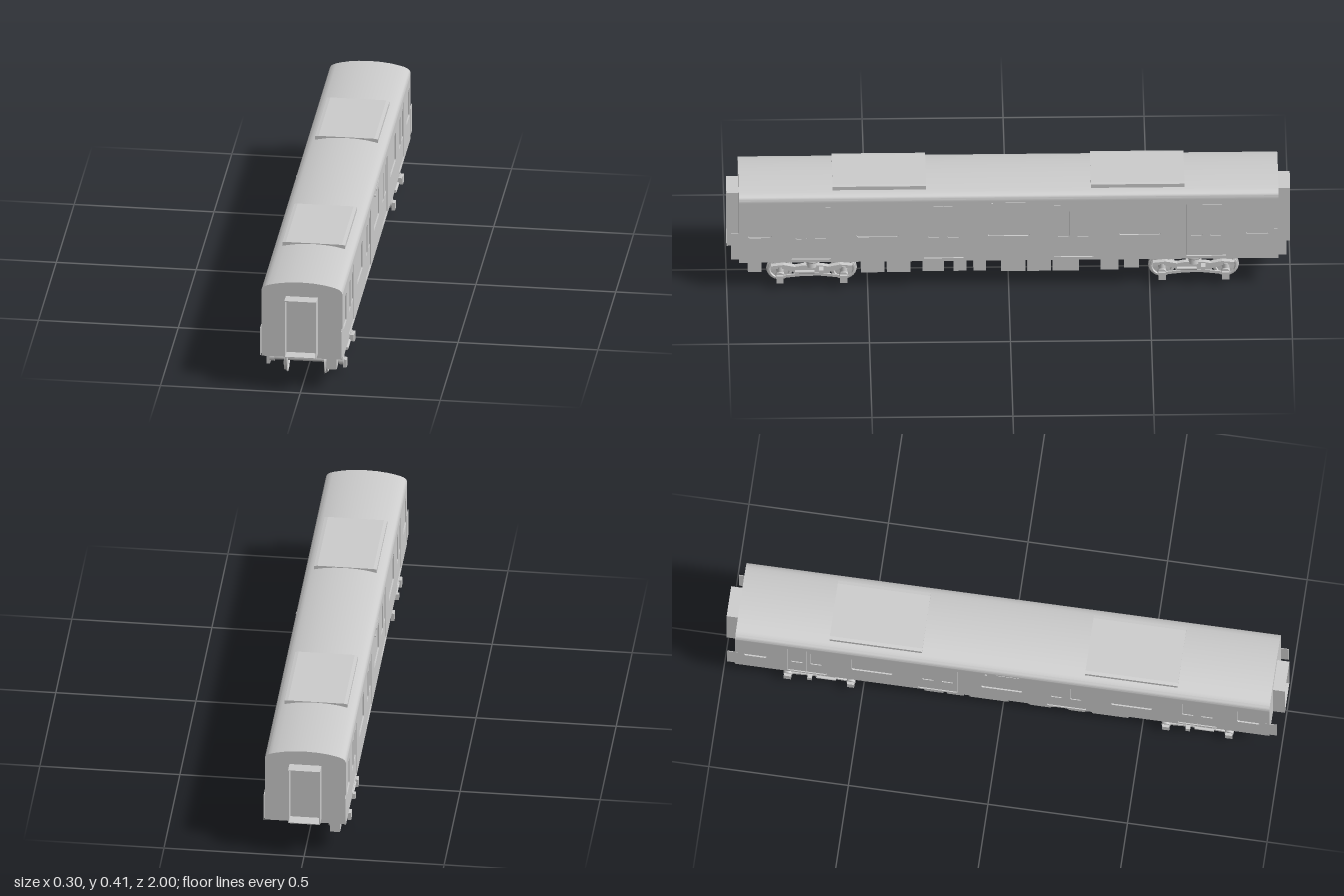
import * as THREE from 'three';
import { toCreasedNormals } from 'three/addons/utils/BufferGeometryUtils.js';

const grey = new THREE.MeshStandardMaterial({ color: 0xcccccc });
const thin = new THREE.MeshStandardMaterial({ color: 0xcccccc, side: THREE.DoubleSide });
const HALF = 0.145, END = 0.957, SKIN = 0.005;

function add(parent, name, geometry, x = 0, y = 0, z = 0, material = grey) {
  const mesh = new THREE.Mesh(geometry, material);
  mesh.name = name;
  mesh.position.set(x, y, z);
  parent.add(mesh);
  return mesh;
}

// Box given by its limits
function block(parent, name, x0, x1, y0, y1, z0, z1) {
  return add(parent, name, new THREE.BoxGeometry(x1 - x0, y1 - y0, z1 - z0),
    (x0 + x1) / 2, (y0 + y1) / 2, (z0 + z1) / 2);
}

const polygon = pts => new THREE.Shape(pts.map(p => new THREE.Vector2(...p)));
const rect = (x0, x1, y0, y1) => polygon([[x0, y0], [x1, y0], [x1, y1], [x0, y1]]);

function roundRect(cx, cy, w, h, r) {
  const s = new THREE.Shape(), a = w / 2 - r, b = h / 2 - r;
  s.absarc(cx + a, cy - b, r, -Math.PI / 2, 0);
  s.absarc(cx + a, cy + b, r, 0, Math.PI / 2);
  s.absarc(cx - a, cy + b, r, Math.PI / 2, Math.PI);
  s.absarc(cx - a, cy - b, r, Math.PI, Math.PI * 1.5);
  s.closePath();
  return s;
}

const extrude = (shape, depth) =>
  new THREE.ExtrudeGeometry(shape, { depth, bevelEnabled: false, curveSegments: 4 });

// Shape drawn in (z, y), extruded sideways between x0 and x1
function sidePlate(parent, name, shape, x0, x1, z = 0) {
  const mesh = add(parent, name, extrude(shape, x1 - x0), x1, 0, z);
  mesh.rotation.y = -Math.PI / 2;
  return mesh;
}

// Cylinder lying along x (axis 'x') or z (axis 'z')
function rod(parent, name, r, length, axis, x, y, z, sides = 16) {
  const g = new THREE.CylinderGeometry(r, r, length, sides);
  if (axis === 'x') g.rotateZ(Math.PI / 2);
  else g.rotateX(Math.PI / 2);
  return add(parent, name, g, x, y, z);
}

function buildBody(train) {
  // Core with a cambered roof that overhangs the recessed door and window panels
  const half = [[HALF - SKIN, 0.118], [HALF - SKIN, 0.365], [HALF, 0.365], [HALF, 0.373],
    [0.143, 0.379], [0.139, 0.385], [0.132, 0.39], [0.12, 0.395], [0.1, 0.4], [0.075, 0.405], [0.04, 0.409]];
  const outline = [...half, [0, 0.4105], ...half.slice().reverse().map(([x, y]) => [-x, y])];
  const core = extrude(polygon(outline), END * 2).translate(0, 0, -END);
  add(train, 'bodyShell', toCreasedNormals(core, 0.5));

  const doors = [-0.7, -0.23, 0.23, 0.7];
  const windows = [[0, 0.148], [-0.465, 0.148], [0.465, 0.148], [-0.883, 0.082], [0.883, 0.082]];
  for (const s of [1, -1]) {
    // Side skin pierced by doors and windows
    const skin = rect(-END, END, 0.118, 0.365);
    for (const z of doors) skin.holes.push(rect(z - 0.07, z + 0.07, 0.13, 0.345));
    for (const [z, w] of windows) skin.holes.push(roundRect(z, 0.275, w, 0.11, 0.007));
    const inner = s > 0 ? HALF - SKIN : -HALF;
    sidePlate(train, 'sidePanel', skin, inner, inner + SKIN);

    for (const z of doors) {
      // Pair of sliding leaves with recessed glass
      for (const d of [-1, 1]) {
        const c = d * 0.0345;
        const leaf = rect(c - 0.034, c + 0.034, 0.132, 0.343);
        leaf.holes.push(roundRect(c, 0.268, 0.042, 0.11, 0.005));
        const x0 = s > 0 ? HALF - SKIN : -HALF + 0.002;
        sidePlate(train, 'doorLeaf', leaf, x0, x0 + 0.003, z);
      }
      block(train, 'doorSill', Math.min(s * 0.141, s * 0.146), Math.max(s * 0.141, s * 0.146),
        0.124, 0.13, z - 0.065, z + 0.065);
    }

    // Side lamp and indicator strip
    rod(train, 'sideLamp', 0.005, 0.012, 'x', s * 0.144, 0.354, s * 0.06, 10);
    add(train, 'indicatorStrip', new THREE.BoxGeometry(0.003, 0.008, 0.08), s * HALF, 0.357, -s * 0.02);

    // Corner guard plates beyond both ends
    for (const e of [1, -1])
      add(train, 'cornerGuard', new THREE.BoxGeometry(0.002, 0.107, 0.045), s * 0.1445, 0.1865, e * 0.9625);
  }

  // Open gangway frame at each end
  for (const e of [1, -1]) {
    const frame = rect(-0.057, 0.057, 0.135, 0.355);
    frame.holes.push(rect(-0.054, 0.054, 0.138, 0.352));
    add(train, 'gangwayFrame', extrude(frame, 0.045), 0, 0, e > 0 ? 0.955 : -1, thin);
    // Rooftop unit, just proud of the roof at its edges
    const unit = polygon([[-0.112, 0.39], [0.112, 0.39], [0.112, 0.411], [0.1, 0.413], [-0.1, 0.413], [-0.112, 0.411]]);
    add(train, 'roofUnit', extrude(unit, 0.332), 0, 0, e * 0.458 - 0.166);
  }
}

function buildUnderframe(train) {
  const bottom = 0.064, top = 0.12;
  // Equipment boxes: x range, z range
  const boxes = [[0.085, 0.12, 0.877, 0.925], [-0.12, -0.085, -0.925, -0.877],
    [0.085, 0.13, 0.44, 0.524], [0.085, 0.13, 0.348, 0.432],
    [0.085, 0.125, 0.23, 0.305], [0.085, 0.125, 0.15, 0.195], [0.085, 0.125, 0.08, 0.125],
    [0.085, 0.13, -0.06, 0.027], [0.085, 0.13, -0.15, -0.066], [0.085, 0.13, -0.25, -0.156],
    [0.085, 0.125, -0.39, -0.326], [0.085, 0.115, -0.462, -0.41],
    [-0.13, -0.08, 0.32, 0.45], [-0.13, -0.08, -0.12, 0.02],
    [-0.13, -0.08, -0.2, -0.14], [-0.13, -0.08, -0.28, -0.212]];
  for (const [x0, x1, z0, z1] of boxes) block(train, 'equipmentBox', x0, x1, bottom, top, z0, z1);

  // Tapered cases
  for (const [z0, z1] of [[0.22, 0.31], [0.08, 0.19]])
    sidePlate(train, 'taperedCase', polygon([[z0, top], [z0, 0.085], [z0 + 0.02, bottom],
      [z1 - 0.02, bottom], [z1, 0.085], [z1, top]]), -0.13, -0.075);

  // Air reservoir and its hangers
  rod(train, 'airReservoir', 0.021, 0.115, 'z', -0.105, 0.088, -0.405, 20);
  for (const z of [-0.44, -0.37]) block(train, 'reservoirHanger', -0.115, -0.095, 0.1, top, z - 0.005, z + 0.005);
}

function buildBogie(z) {
  const bogie = new THREE.Group();
  bogie.name = 'bogie';
  bogie.position.z = z;
  const axleY = 0.048, spacing = 0.113;

  // Wheel profile: flange inside, tread outside, dished disc
  const profile = [[0.01, -0.005], [0.034, -0.003], [0.038, -0.007], [0.048, -0.006], [0.047, -0.002],
    [0.043, 0], [0.042, 0.006], [0.036, 0.006], [0.033, 0.001], [0.014, 0.003], [0.01, 0.006]];
  const wheel = toCreasedNormals(new THREE.LatheGeometry(profile.map(p => new THREE.Vector2(...p)), 28), 0.5);
  wheel.rotateZ(-Math.PI / 2);

  for (const a of [-spacing, spacing]) {
    rod(bogie, 'axle', 0.0105, 0.25, 'x', 0, axleY + 0.003, a);
    for (const s of [1, -1]) {
      const w = add(bogie, 'wheel', wheel, s * 0.072, axleY, a, thin);
      if (s < 0) w.rotation.y = Math.PI;
      rod(bogie, 'axleBox', 0.016, 0.018, 'x', s * 0.124, axleY + 0.003, a, 12);
      add(bogie, 'axleBoxCover', new THREE.BoxGeometry(0.012, 0.03, 0.026), s * 0.137, 0.043, a);
      add(bogie, 'axleSpring', new THREE.CylinderGeometry(0.011, 0.013, 0.022, 12), s * 0.115, 0.073, a);
    }
  }

  // Curved side frame: bar dips in the middle and rises over the axle boxes
  const frame = polygon([[-0.145, 0.078], [-0.105, 0.078], [-0.06, 0.062], [-0.03, 0.052], [0.03, 0.052],
    [0.06, 0.062], [0.105, 0.078], [0.145, 0.078], [0.145, 0.088], [0.1, 0.093], [0.06, 0.085],
    [0.035, 0.09], [-0.035, 0.09], [-0.06, 0.085], [-0.1, 0.093], [-0.145, 0.088]]);
  for (const s of [1, -1]) {
    sidePlate(bogie, 'sideFrame', frame, s * 0.114 - 0.009, s * 0.114 + 0.009);
    sidePlate(bogie, 'tieBar', polygon([[-0.1, 0.042], [-0.03, 0.05], [0.03, 0.05], [0.1, 0.042],
      [0.1, 0.052], [0.03, 0.061], [-0.03, 0.061], [-0.1, 0.052]]), s * 0.124 - 0.003, s * 0.124 + 0.003);
    add(bogie, 'springSeat', new THREE.CylinderGeometry(0.016, 0.02, 0.024, 16), s * 0.112, 0.096, 0);
    // Air spring bellows
    const bellows = [[0, 0.104], [0.02, 0.104], [0.028, 0.108], [0.03, 0.113], [0.027, 0.119], [0, 0.119]];
    add(bogie, 'airSpring', new THREE.LatheGeometry(bellows.map(p => new THREE.Vector2(...p)), 24), s * 0.112);
    // Damper and outer bracket
    rod(bogie, 'damper', 0.006, 0.07, 'z', s * 0.135, 0.072, 0.025, 10);
    add(bogie, 'damperBracket', new THREE.BoxGeometry(0.03, 0.022, 0.016), s * 0.134, 0.075, -0.033);
    // Brake blocks beside each wheel
    for (const a of [-0.058, 0.058])
      add(bogie, 'brakeBlock', new THREE.BoxGeometry(0.012, 0.03, 0.012), s * 0.1, 0.05, a);
  }
  block(bogie, 'bolster', -0.115, 0.115, 0.066, 0.088, -0.028, 0.028);
  add(bogie, 'centrePivot', new THREE.CylinderGeometry(0.02, 0.02, 0.036, 16), 0, 0.102, 0);
  return bogie;
}

export function createModel() {
  const train = new THREE.Group();
  train.name = 'railwayCarriage';
  buildBody(train);
  buildUnderframe(train);
  train.add(buildBogie(0.698), buildBogie(-0.657));
  return train;
}
